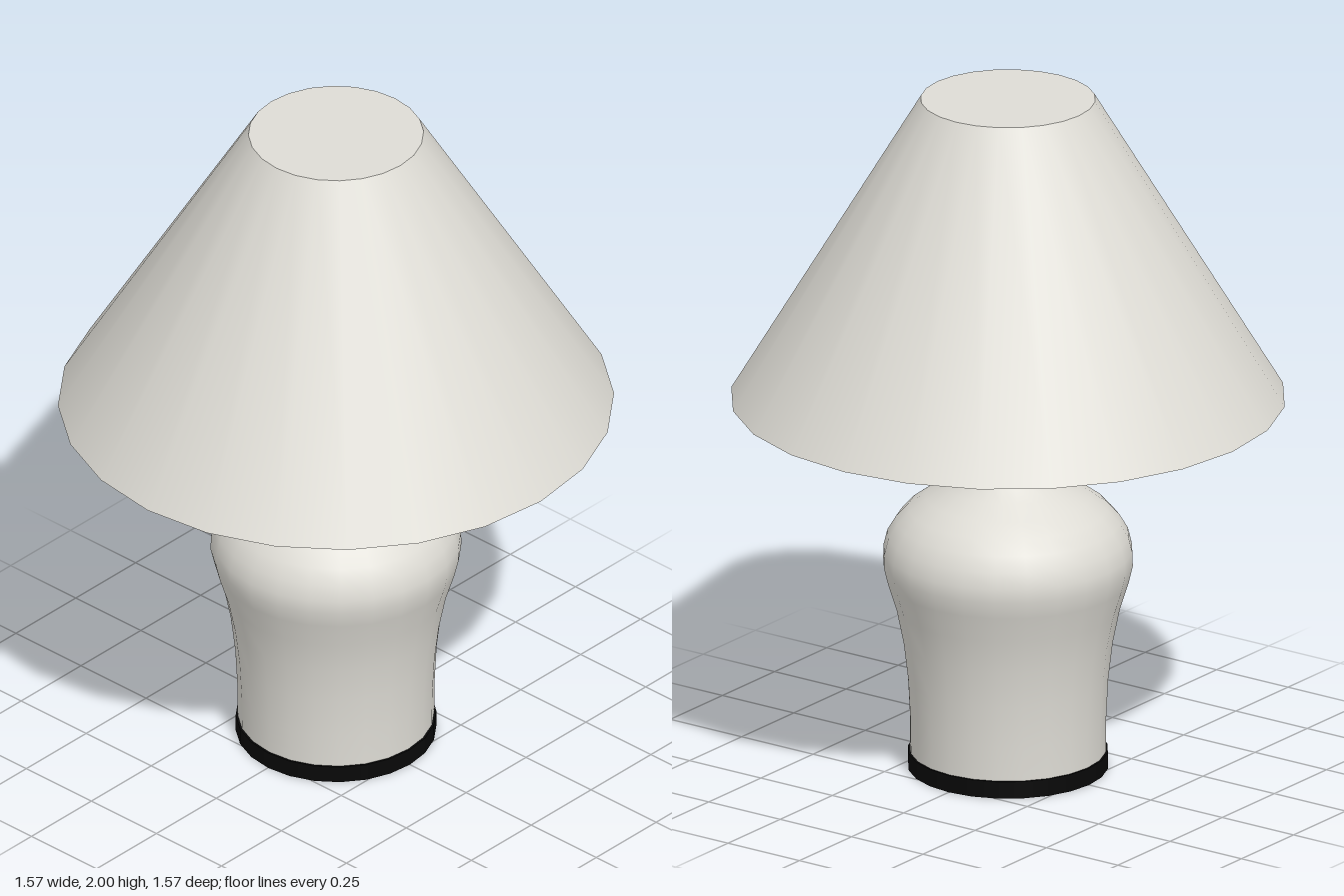
import * as THREE from 'three';

const SIDES = 24;

export function createModel() {
  const lamp = new THREE.Group();
  const paint = (name, color, side = THREE.FrontSide) => {
    const m = new THREE.MeshStandardMaterial({ color, side });
    m.name = name;
    return m;
  };
  const ceramic = paint('ceramic', 0xdedcd5);
  const fabric = paint('shadeFabric', 0xdedcd5, THREE.DoubleSide);
  const black = paint('black', 0x080808);
  const glass = paint('greyGlass', 0x8a8a88);

  const add = (name, geometry, material, y = 0) => {
    const mesh = new THREE.Mesh(geometry, material);
    mesh.name = name;
    mesh.position.y = y;
    lamp.add(mesh);
    return mesh;
  };
  // Quarter turn puts a corner on each axis
  const lathe = (points) =>
    new THREE.LatheGeometry(points.map(([r, y]) => new THREE.Vector2(r, y)), SIDES);
  const drum = (top, bottom, height) =>
    new THREE.CylinderGeometry(top, bottom, height, SIDES);

  // Black foot
  add('foot', drum(0.284, 0.284, 0.05), black, 0.025);

  // Vase-shaped body
  add('body', lathe([
    [0.278, 0.05], [0.279, 0.15], [0.285, 0.27], [0.298, 0.38], [0.318, 0.48],
    [0.343, 0.56], [0.355, 0.61], [0.354, 0.65], [0.343, 0.695], [0.318, 0.737],
    [0.283, 0.775], [0.235, 0.81], [0.18, 0.845], [0.135, 0.88], [0.103, 0.915],
    [0.084, 0.945], [0.076, 0.97],
  ]), ceramic);

  // Collar and socket
  add('collar', drum(0.078, 0.088, 0.038), ceramic, 0.981);
  add('socket', drum(0.039, 0.039, 0.03), ceramic, 1.015);

  // Pear-shaped bulb
  add('bulb', lathe([
    [0.022, 1.025], [0.026, 1.045], [0.04, 1.075], [0.06, 1.11], [0.08, 1.145],
    [0.09, 1.18], [0.086, 1.215], [0.066, 1.247], [0.035, 1.265], [0, 1.27],
  ]), glass);

  // Wire harp holding the shade
  const half = [[0.072, 1.0], [0.116, 1.11], [0.118, 1.17], [0.114, 1.4], [0.106, 1.7], [0.07, 1.9]];
  const points = [
    ...half.map(([x, y]) => new THREE.Vector3(-x, y, 0)),
    new THREE.Vector3(0, 1.98, 0),
    ...half.slice().reverse().map(([x, y]) => new THREE.Vector3(x, y, 0)),
  ];
  const path = new THREE.CatmullRomCurve3(points, false, 'centripetal');
  add('harp', new THREE.TubeGeometry(path, 60, 0.0035, 6), black);

  // Conical shade: outer skin, lining, lower rim and closed top
  add('shadeOuter', lathe([[0.787, 1.105], [0.248, 2]]), fabric);
  add('shadeLining', lathe([[0.779, 1.105], [0.241, 1.995]]), fabric);
  add('shadeRim', lathe([[0.779, 1.105], [0.787, 1.105]]), fabric);
  const top = add('shadeTop', new THREE.CircleGeometry(0.248, SIDES), fabric, 2);
  top.rotation.x = -Math.PI / 2;

  return lamp;
}
